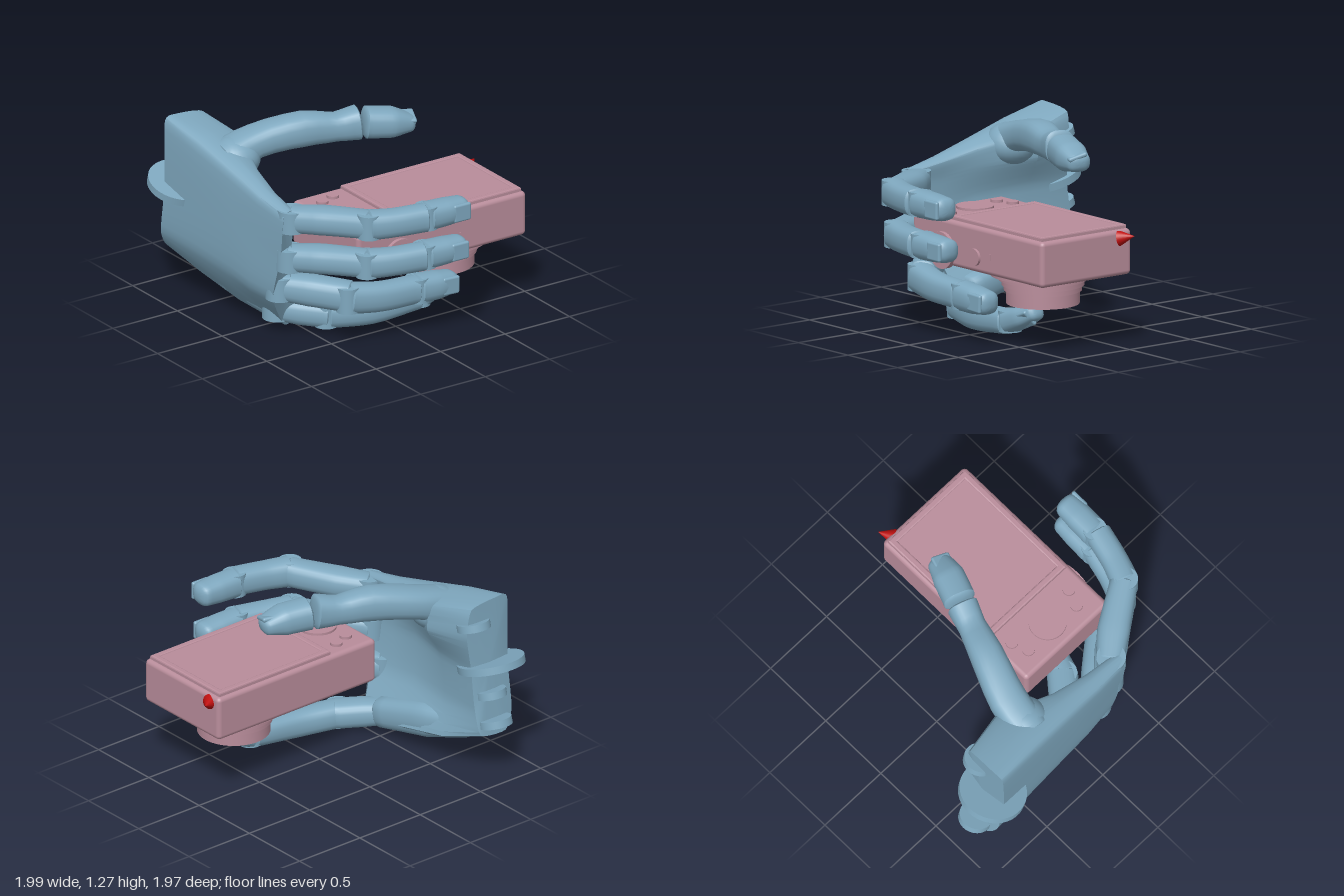
import * as THREE from 'three';
import { toCreasedNormals } from 'three/addons/utils/BufferGeometryUtils.js';
import { RoundedBoxGeometry } from 'three/addons/geometries/RoundedBoxGeometry.js';

const V = (x, y, z) => new THREE.Vector3(x, y, z);
const UP = V(0, 1, 0);
const handMat = new THREE.MeshStandardMaterial({ color: 0x7fa8bf });
const camMat = new THREE.MeshStandardMaterial({ color: 0xb98d9b });
const redMat = new THREE.MeshStandardMaterial({ color: 0xc01010 });

function add(parent, name, geo, mat, x = 0, y = 0, z = 0) {
  const m = new THREE.Mesh(geo, mat);
  m.name = name;
  m.position.set(x, y, z);
  parent.add(m);
  return m;
}

// Closed skin over a row of equal rings, with both ends capped
function loft(rings, crease = 0.7) {
  const n = rings[0].length, pos = [], idx = [];
  rings.forEach(r => r.forEach(p => pos.push(p.x, p.y, p.z)));
  const pole = ring => {
    const c = V(0, 0, 0);
    ring.forEach(p => c.addScaledVector(p, 1 / n));
    pos.push(c.x, c.y, c.z);
    return pos.length / 3 - 1;
  };
  const first = pole(rings[0]), last = pole(rings.at(-1)), end = (rings.length - 1) * n;
  for (let j = 0; j < n; j++) {
    const k = (j + 1) % n;
    for (let i = 0; i < end; i += n) idx.push(i + j, i + k, i + n + k, i + j, i + n + k, i + n + j);
    idx.push(k, j, first, end + j, end + k, last);
  }
  const g = new THREE.BufferGeometry();
  g.setAttribute('position', new THREE.Float32BufferAttribute(pos, 3));
  g.setIndex(idx);
  return toCreasedNormals(g, crease);
}

// Rounded-square limb through stations [x, y, z, halfWidth, halfHeight]
function limb(st, tip = 0.3) {
  const path = new THREE.CatmullRomCurve3(st.map(s => V(s[0], s[1], s[2])));
  const steps = 12, rings = [];
  const ring = (t, scale, push) => {
    const f = t * (st.length - 1), i = Math.min(Math.floor(f), st.length - 2), a = f - i;
    const w = THREE.MathUtils.lerp(st[i][3], st[i + 1][3], a) * scale;
    const h = THREE.MathUtils.lerp(st[i][4], st[i + 1][4], a) * scale;
    const T = path.getTangent(t), S = UP.clone().cross(T).normalize(), W = T.clone().cross(S);
    const c = path.getPoint(t).addScaledVector(T, push);
    const pts = [];
    for (let j = 0; j < 24; j++) {
      const q = j / 24 * Math.PI * 2, cs = Math.cos(q), sn = Math.sin(q);
      pts.push(c.clone()
        .addScaledVector(S, Math.sign(cs) * Math.abs(cs) ** 0.75 * w)
        .addScaledVector(W, Math.sign(sn) * Math.abs(sn) ** 0.75 * h));
    }
    rings.push(pts);
  };
  const round = st.at(-1)[3] * tip;
  ring(0, 0.75, -0.015);
  ring(0, 0.93, -0.006);
  for (let i = 0; i <= steps; i++) ring(i / steps, 1, 0);
  for (const a of [0.4, 0.75, 1.05, 1.3]) ring(1, Math.cos(a), Math.sin(a) * round);
  return loft(rings);
}

function nail(parent, at, along, out, w) {
  const m = add(parent, 'nail', new RoundedBoxGeometry(0.13, w, 0.03, 3, 0.014), handMat);
  const x = along.clone().normalize(), y = out.clone().cross(x).normalize(), z = x.clone().cross(y);
  m.quaternion.setFromRotationMatrix(new THREE.Matrix4().makeBasis(x, y, z));
  m.position.copy(at);
}

// Finger: root knuckle, three segments and the hinges between them
function finger(parent, name, segs, nailOut, nailAt) {
  const g = new THREE.Group();
  g.name = name;
  parent.add(g);
  segs.forEach((s, i) => {
    add(g, ['proximalSegment', 'middleSegment', 'fingertip'][i], limb(s, i === 2 ? 0.55 : 0.2), handMat);
    const [x, y, z, w, h] = s[0];
    const r = i ? w * 0.85 : 0.095;
    add(g, 'hinge', new THREE.CylinderGeometry(r, r, h * 1.7, 28), handMat, x - 0.01, y, z);
  });
  const a = segs[2][0], b = segs[2].at(-1);
  nail(g, V(...nailAt), V(b[0] - a[0], b[1] - a[1], b[2] - a[2]), nailOut, 0.12);
}

function buildHand(root) {
  const hand = new THREE.Group();
  hand.name = 'hand';
  root.add(hand);

  // Palm sections from wrist to knuckles: back of hand downwards, then the inside upwards
  const sections = [
    [-0.78, 0.2, [[-.8, 1.22], [-.895, 1.19], [-.9, .75], [-.895, .42], [-.82, .29], [-.62, .31], [-.6, .5], [-.6, .75], [-.57, 1], [-.6, 1.19]]],
    [-0.47, 0.2, [[-.74, 1.17], [-.87, 1.13], [-.88, .75], [-.87, .4], [-.75, .18], [-.54, .22], [-.61, .45], [-.6, .75], [-.5, .95], [-.53, 1.12]]],
    [-0.1, 0.2, [[-.74, 1.07], [-.84, 1.03], [-.855, .7], [-.84, .36], [-.7, .1], [-.5, .16], [-.65, .42], [-.7, .7], [-.66, .9], [-.65, 1.03]]],
    [0.15, 0.28, [[-.75, 1], [-.825, .96], [-.83, .65], [-.82, .32], [-.62, .04], [-.5, .13], [-.66, .38], [-.71, .65], [-.71, .85], [-.69, .97]]],
    [0.4, 0.33, [[-.75, .95], [-.8, .91], [-.8, .63], [-.79, .31], [-.6, .03], [-.5, .1], [-.66, .35], [-.72, .63], [-.72, .85], [-.71, .93]]],
  ];
  const rings = sections.map(([z, k, pts]) =>
    new THREE.CatmullRomCurve3(pts.map(([x, y]) => V(x, y, z - k * (0.95 - y) ** 2)), true, 'catmullrom', 0.3)
      .getPoints(50).slice(0, 50));
  add(hand, 'palm', loft(rings, 0.6), handMat);
  add(hand, 'thumbMound', new THREE.SphereGeometry(1, 28, 18), handMat, -0.65, 1.03, -0.37).scale.set(0.17, 0.14, 0.17);
  const edge = limb([[-.7, .29, -.66, .1, .08], [-.64, .23, -.35, .12, .12], [-.57, .14, .05, .1, .1]]);
  add(hand, 'littleFingerEdge', edge, handMat);

  // Wrist discs
  for (const [x, y, z, r] of [[-.78, .745, -.77, .22], [-.73, .38, -.87, .11], [-.73, .57, -.83, .1], [-.65, 1.05, -.75, .11]]) {
    const d = add(hand, 'wristDisc', new THREE.CylinderGeometry(r, r, 0.05, 40), handMat, x, y, z);
    d.rotation.x = 0.28;
  }

  // Two upper fingers share one shape
  for (const [name, y, dz] of [['indexFinger', 0.905, 0], ['middleFinger', 0.63, -0.02]]) {
    finger(hand, name, [
      [[-.7, y - .035, .36 + dz, .09, .085], [-.58, y - .02, .51 + dz, .105, .09], [-.4, y, .78 + dz, .09, .09]],
      [[-.4, y, .79 + dz, .09, .095], [-.25, y, .845 + dz, .085, .09], [-.05, y + .005, .895 + dz, .085, .09]],
      [[-.02, y + .005, .885 + dz, .09, .09], [.12, y + .005, .89 + dz, .09, .085], [.23, y + .005, .89 + dz, .08, .075]],
    ], V(0, 0, 1), [.19, y + .005, .965 + dz]);
  }
  finger(hand, 'ringFinger', [
    [[-.7, .36, .23, .09, .09], [-.57, .35, .37, .1, .1], [-.4, .33, .56, .09, .1]],
    [[-.41, .325, .57, .09, .1], [-.2, .3, .61, .085, .095], [.06, .29, .62, .085, .09]],
    [[.09, .29, .62, .09, .095], [.22, .285, .625, .09, .09], [.33, .28, .62, .08, .075]],
  ], V(0, 0, 1), [.29, .285, .695]);
  finger(hand, 'littleFinger', [
    [[-.6, .13, .05, .09, .08], [-.5, .12, .15, .1, .09], [-.36, .105, .27, .1, .09]],
    [[-.37, .105, .27, .095, .09], [-.1, .095, .35, .09, .09], [.24, .115, .38, .085, .08]],
    [[.27, .125, .38, .09, .08], [.4, .17, .38, .085, .07], [.5, .215, .37, .065, .055]],
  ], V(0.2, -0.6, 0.8), [.45, .165, .415]);

  // Thumb
  const thumb = new THREE.Group();
  thumb.name = 'thumb';
  hand.add(thumb);
  add(thumb, 'thumbBase', limb([[-.72, 1.03, -.38, .13, .12], [-.5, 1.11, -.355, .125, .1], [-.2, 1.16, -.25, .11, .11],
    [0, 1.15, -.18, .09, .09], [.14, 1.165, -.13, .1, .11]], 0.2), handMat);
  add(thumb, 'thumbTip', limb([[.19, 1.16, -.11, .105, .1], [.35, 1.145, -.05, .105, .095], [.46, 1.13, -.02, .08, .06]], 0.5), handMat);
  nail(thumb, V(.43, 1.175, -.015), V(.3, -.02, .1), V(.2, .9, .35), 0.13);
}

function buildCamera(root) {
  const cam = new THREE.Group();
  cam.name = 'camera';
  root.add(cam);
  const disc = (name, r, h, x, y, z) => add(cam, name, new THREE.CylinderGeometry(r, r, h, 44), camMat, x, y, z);

  add(cam, 'body', new RoundedBoxGeometry(1.31, 0.3, 0.74, 3, 0.03), camMat, 0.258, 0.62, 0.28);

  // Raised screen frame with a recessed panel
  const rect = (P, w, h) => {
    const p = new P();
    p.moveTo(-w, -h); p.lineTo(w, -h); p.lineTo(w, h); p.lineTo(-w, h); p.closePath();
    return p;
  };
  const frame = rect(THREE.Shape, 0.45, 0.335);
  frame.holes.push(rect(THREE.Path, 0.425, 0.31));
  const frameGeo = new THREE.ExtrudeGeometry(frame, { depth: 0.03, bevelSize: 0.01, bevelThickness: 0.01, bevelSegments: 2 });
  add(cam, 'screenFrame', frameGeo, camMat, 0.425, 0.757, 0.28).rotation.x = -Math.PI / 2;
  add(cam, 'screen', new THREE.BoxGeometry(0.83, 0.03, 0.6), camMat, 0.425, 0.775, 0.28);

  // Controls on top
  disc('controlDial', 0.122, 0.03, -0.215, 0.771, 0.28);
  for (const [x, z] of [[-.265, .06], [-.155, .02], [-.265, .49], [-.155, .53]]) disc('button', 0.04, 0.03, x, 0.773, z);

  // Controls on the front edge
  disc('modeDial', 0.12, 0.04, -0.08, 0.565, 0.655).rotation.x = Math.PI / 2;
  disc('frontButton', 0.055, 0.035, 0.24, 0.57, 0.65).rotation.x = Math.PI / 2;
  add(cam, 'frontSlot', new THREE.BoxGeometry(0.016, 0.04, 0.02), camMat, 0.39, 0.59, 0.645);

  // Stepped lens pointing down, hollow at the tip
  const profile = [[0, .33], [.13, .31], [.13, .265], [.235, .265], [.235, .35], [.25, .35], [.25, .385], [.265, .385],
    [.265, .42], [.285, .42], [.285, .45], [.335, .45], [.335, .475], [0, .475]];
  const lens = new THREE.LatheGeometry(profile.map(p => new THREE.Vector2(...p)), 56);
  add(cam, 'lens', toCreasedNormals(lens, 0.5), camMat, 0.475, 0, 0.285);

  // Red pointed marker on the corner
  const base = V(0.9, 0.715, 0.005), tip = V(0.99, 0.735, -0.05), dir = tip.clone().sub(base);
  const mid = base.clone().add(tip).multiplyScalar(0.5);
  const cone = add(cam, 'marker', new THREE.ConeGeometry(0.052, dir.length(), 32), redMat, mid.x, mid.y, mid.z);
  cone.quaternion.setFromUnitVectors(UP, dir.normalize());
}

export function createModel() {
  const root = new THREE.Group();
  root.name = 'handHoldingCamera';
  buildHand(root);
  buildCamera(root);
  return root;
}
